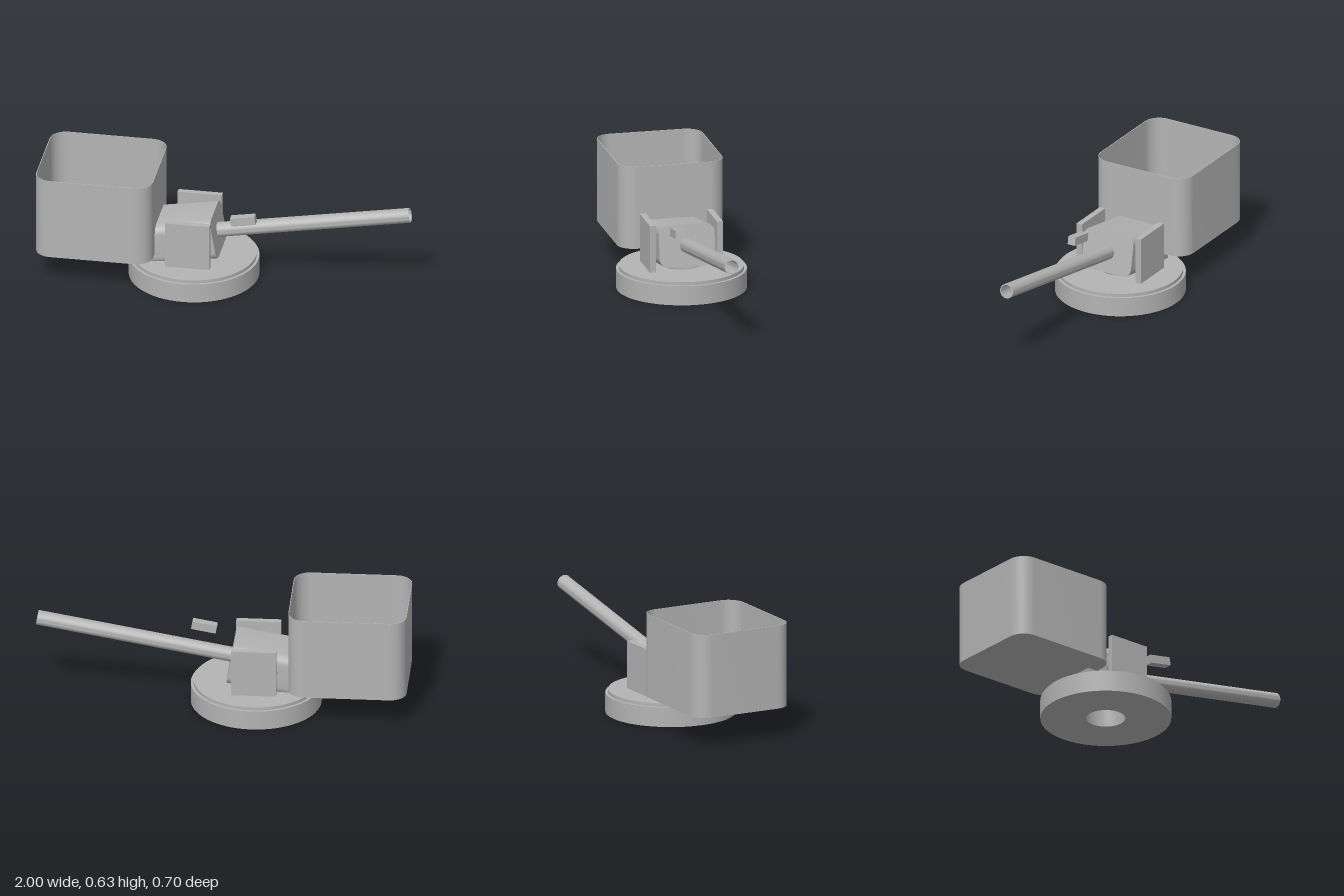
import * as THREE from 'three';
import { toCreasedNormals } from 'three/addons/utils/BufferGeometryUtils.js';

const CREASE = Math.PI / 6;

export function createModel() {
  const model = new THREE.Group();
  model.name = 'gunMount';
  const grey = new THREE.MeshStandardMaterial({ color: 0xb4b4b4 });
  grey.name = 'plain grey';

  function add(parent, name, geometry, x = 0, y = 0, z = 0) {
    const mesh = new THREE.Mesh(geometry, grey);
    mesh.name = name;
    mesh.position.set(x, y, z);
    parent.add(mesh);
    return mesh;
  }

  // Closed profile of [radius, height] pairs turned about y
  const turned = (profile, segments) => toCreasedNormals(
    new THREE.LatheGeometry(profile.map(([r, y]) => new THREE.Vector2(r, y)), segments), CREASE);

  function roundedRect(w, h, r, Type = THREE.Shape) {
    const x = w / 2, y = h / 2, s = new Type();
    s.absarc(x - r, y - r, r, 0, Math.PI / 2);
    s.absarc(-x + r, y - r, r, Math.PI / 2, Math.PI);
    s.absarc(-x + r, -y + r, r, Math.PI, Math.PI * 1.5);
    s.absarc(x - r, -y + r, r, Math.PI * 1.5, Math.PI * 2);
    s.closePath();
    return s;
  }

  const extruded = (shape, depth) => toCreasedNormals(
    new THREE.ExtrudeGeometry(shape, { depth, bevelEnabled: false, curveSegments: 12 }), CREASE);

  // Stepped turntable with a central hole
  add(model, 'turntable', turned([
    [0.105, 0], [0.35, 0], [0.35, 0.107], [0.335, 0.107],
    [0.335, 0.125], [0.105, 0.125], [0.105, 0],
  ], 64), -0.18);

  // Upright cheek plates on either side
  for (const side of [-1, 1]) {
    add(model, 'cheekPlate', new THREE.BoxGeometry(0.24, 0.26, 0.033), -0.18, 0.255, side * 0.184);
  }

  // Elevating assembly, built along local x and tilted upward
  const gun = new THREE.Group();
  gun.name = 'elevatingGun';
  gun.position.set(-0.24, 0.235, 0);
  gun.rotation.z = THREE.MathUtils.degToRad(10);
  model.add(gun);

  const housing = extruded(roundedRect(0.306, 0.228, 0.05), 0.39);
  housing.translate(0, 0, -0.195).rotateY(Math.PI / 2);
  add(gun, 'housing', housing);

  const trunnion = new THREE.CylinderGeometry(0.065, 0.065, 0.322, 32);
  trunnion.rotateX(Math.PI / 2);
  add(gun, 'trunnion', trunnion);

  const barrel = turned([
    [0.034, 0.18], [0.04, 0.18], [0.04, 1.252], [0.034, 1.252], [0.034, 0.18],
  ], 32);
  barrel.rotateZ(-Math.PI / 2);
  add(gun, 'barrel', barrel);

  add(gun, 'breech', new THREE.BoxGeometry(0.07, 0.08, 0.09), -0.228, 0.025, 0);
  add(gun, 'sight', new THREE.BoxGeometry(0.134, 0.046, 0.045), 0.366, 0.09, 0.092);

  // Open bin behind the housing: thin wall and floor
  const bin = new THREE.Group();
  bin.name = 'bin';
  bin.position.set(-0.683, 0.17, 0);
  model.add(bin);

  const wallShape = roundedRect(0.634, 0.578, 0.09);
  wallShape.holes.push(roundedRect(0.626, 0.57, 0.086, THREE.Path));
  add(bin, 'binWall', extruded(wallShape, 0.457).rotateX(-Math.PI / 2));
  add(bin, 'binFloor', extruded(roundedRect(0.63, 0.574, 0.088), 0.005).rotateX(-Math.PI / 2));

  return model;
}
